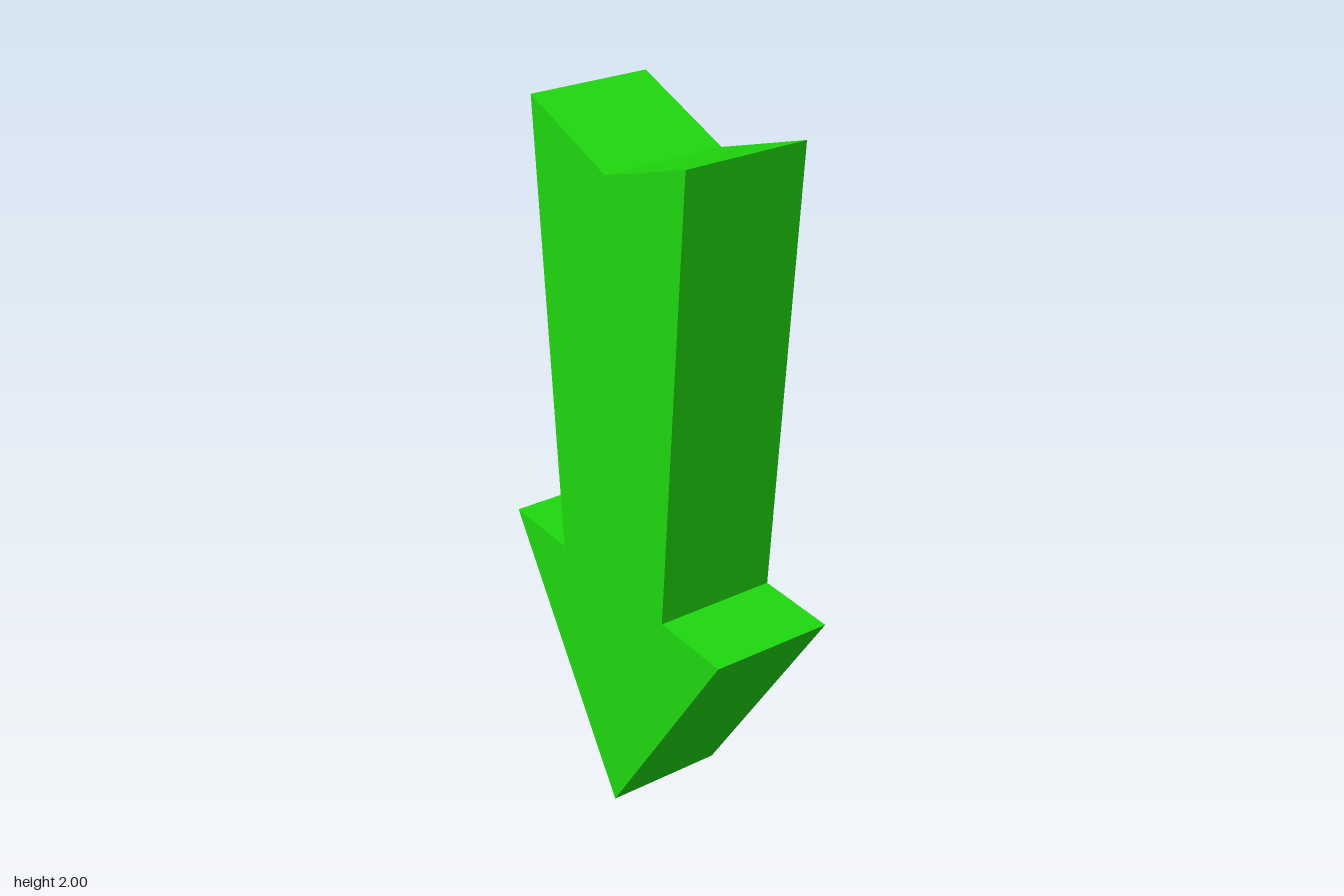
import * as THREE from 'three';

export function createModel() {
  const group = new THREE.Group();
  group.name = 'downArrow';
  const depth = 0.345;

  // Half outline from the tip up to the tail notch: [sideways, height]
  const half = [[0, 0], [0.48, 0.735], [0.235, 0.735], [0.328, 2], [0, 1.888]];
  const mirrored = half.slice(1, -1).reverse().map(([u, y]) => [-u, y]);
  const outline = new THREE.Shape([...half, ...mirrored].map(([u, y]) => new THREE.Vector2(u, y)));

  // Flat arrow, turned so its thickness runs along x
  const geometry = new THREE.ExtrudeGeometry(outline, { depth, bevelEnabled: false });
  geometry.translate(0, 0, -depth / 2);
  geometry.rotateY(Math.PI / 2);

  const green = new THREE.MeshStandardMaterial({ color: 0x1fd80f, flatShading: true });
  const arrow = new THREE.Mesh(geometry, green);
  arrow.name = 'arrow';
  group.add(arrow);
  return group;
}
